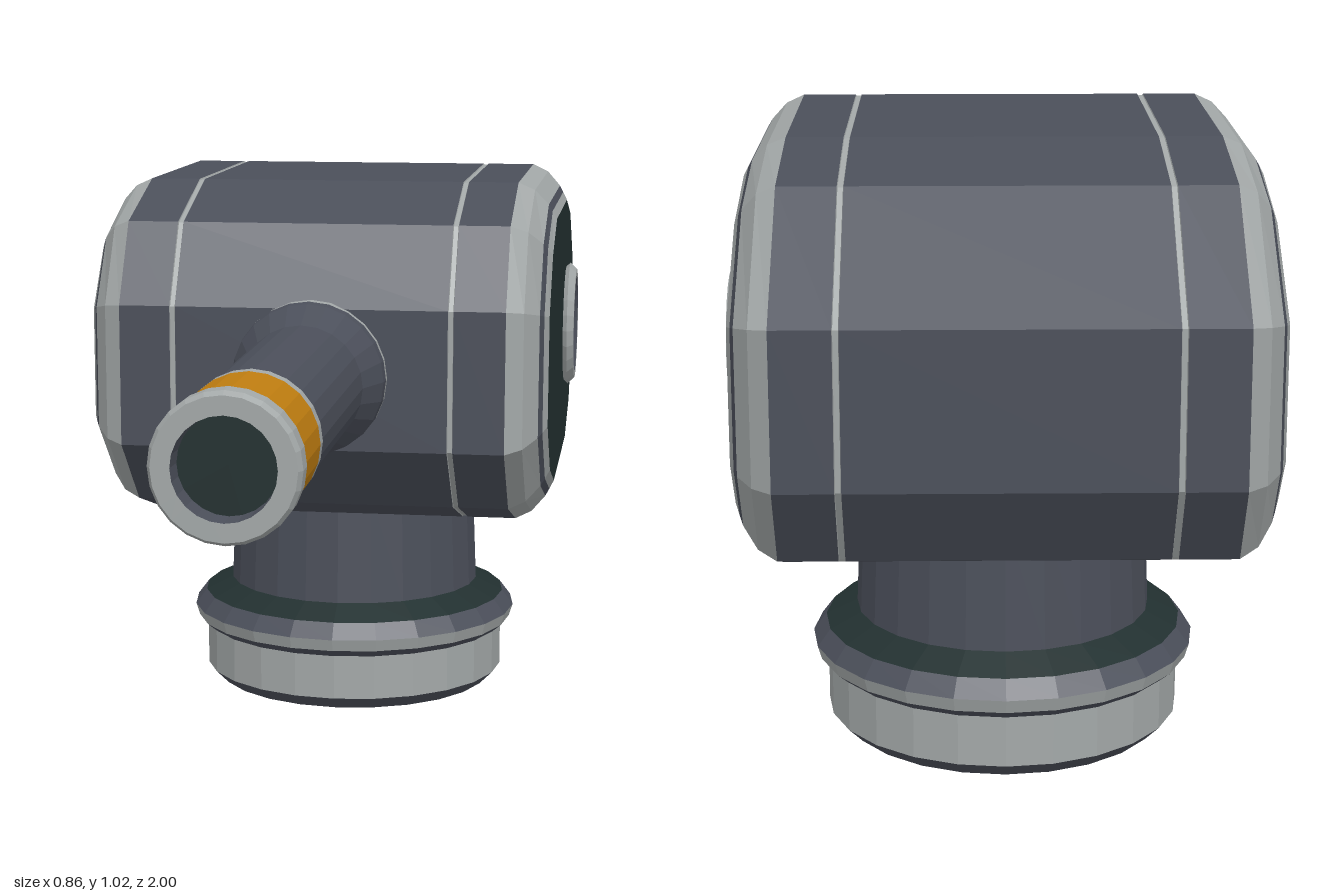
import * as THREE from 'three';

const material = (name, color) => {
  const m = new THREE.MeshStandardMaterial({ color, flatShading: true });
  m.name = name;
  return m;
};

// Housing outlines as [z, y], running front, top, back, bottom
const OUTER = [[0.185, 0.82], [0.1, 0.96], [-0.1, 1.02], [-0.56, 1.02], [-0.79, 0.985], [-1, 0.82],
  [-1, 0.58], [-0.916, 0.45], [-0.72, 0.38], [-0.166, 0.38], [0.05, 0.445], [0.185, 0.57]];
const INNER = [[0.086, 0.8], [0.005, 0.9], [-0.12, 0.953], [-0.52, 0.953], [-0.7, 0.91], [-0.868, 0.793],
  [-0.868, 0.584], [-0.8, 0.503], [-0.643, 0.45], [-0.193, 0.45], [-0.03, 0.503], [0.086, 0.605]];

// Outline at x, blended from OUTER (t = 0) to INNER (t = 1)
const section = ([x, t]) => OUTER.map(([z, y], i) => [
  x, y + (INNER[i][1] - y) * t, z + (INNER[i][0] - z) * t]);

function meshFrom(name, mat, triangles) {
  const g = new THREE.BufferGeometry();
  g.setAttribute('position', new THREE.Float32BufferAttribute(triangles.flat(), 3));
  g.computeVertexNormals();
  const mesh = new THREE.Mesh(g, mat);
  mesh.name = name;
  return mesh;
}

// Skin between stations [x, t] with x increasing
function band(name, mat, stations) {
  const tri = [];
  for (let s = 0; s + 1 < stations.length; s++) {
    const a = section(stations[s]), b = section(stations[s + 1]);
    a.forEach((p, i) => {
      const j = (i + 1) % a.length;
      tri.push(p, b[i], a[j], b[i], b[j], a[j]);
    });
  }
  return meshFrom(name, mat, tri);
}

// Flat end plate facing outwards along x
function cap(name, mat, station, side) {
  const p = section(station), tri = [];
  for (let i = 1; i + 1 < p.length; i++) {
    tri.push(p[0], ...(side > 0 ? [p[i + 1], p[i]] : [p[i], p[i + 1]]));
  }
  return meshFrom(name, mat, tri);
}

// Turned part: points are [radius, height]
function turned(name, mat, points, segments = 24) {
  const g = new THREE.LatheGeometry(points.map(([r, h]) => new THREE.Vector2(r, h)), segments);
  const mesh = new THREE.Mesh(g, mat);
  mesh.name = name;
  return mesh;
}

export function createModel() {
  const slate = material('slate', 0x4b4f5a);
  const light = material('light grey', 0xa3a8a8);
  const dark = material('dark green', 0x223030);
  const orange = material('orange', 0xbf7d10);

  const model = new THREE.Group();
  model.name = 'mountedTurret';

  // Faceted housing: centre, trim grooves, shoulders, rims and side plates
  const housing = new THREE.Group();
  housing.name = 'housing';
  housing.add(band('housingCentre', slate, [[-0.24, 0], [0.24, 0]]));
  for (const side of [1, -1]) {
    const at = (...st) => (side > 0 ? st : st.map(([x, t]) => [-x, t]).reverse());
    housing.add(
      band('trimGroove', light, at([0.24, 0], [0.241, 0.03], [0.249, 0.03], [0.25, 0])),
      band('shoulder', slate, at([0.25, 0], [0.34, 0])),
      band('rimBevel', light, at([0.34, 0], [0.37, 0.2], [0.395, 0.6])),
      band('rimGroove', slate, at([0.395, 0.6], [0.402, 0.78])),
      band('rimInner', light, at([0.402, 0.78], [0.41, 1])),
      cap('sidePlate', dark, [0.41 * side, 1], side),
    );

    // Pivot boss on each side plate
    const boss = new THREE.Group();
    boss.name = 'pivotBoss';
    boss.add(
      turned('bossRing', light, [[0.115, 0], [0.123, 0.008], [0.11, 0.021], [0.096, 0.021]]),
      turned('bossInner', slate, [[0.096, 0.021], [0.082, 0.012]]),
      turned('bossCentre', dark, [[0.082, 0.012], [0, 0.012]]),
    );
    boss.position.set(0.41 * side, 0.7, -0.56);
    boss.rotation.z = -side * Math.PI / 2;
    housing.add(boss);
  }
  model.add(housing);

  // Barrel pointing forwards
  const barrel = new THREE.Group();
  barrel.name = 'barrel';
  barrel.add(
    turned('barrelSeat', light, [[0.135, 0.17], [0.135, 0.2]]),
    turned('barrelTube', slate, [[0.135, 0.2], [0.133, 0.22], [0.106, 0.29], [0.104, 0.765]]),
    turned('barrelRing', light, [[0.104, 0.765], [0.108, 0.768], [0.108, 0.792]]),
    turned('barrelBand', orange, [[0.108, 0.792], [0.108, 0.952]]),
    turned('muzzle', light, [[0.108, 0.952], [0.113, 0.956], [0.113, 0.99], [0.107, 1], [0.078, 1]]),
    turned('boreWall', slate, [[0.078, 1], [0.076, 0.96]]),
    turned('boreEnd', dark, [[0.076, 0.96], [0, 0.96]]),
  );
  barrel.rotation.x = Math.PI / 2;
  barrel.position.y = 0.7;
  model.add(barrel);

  // Round pedestal under the housing
  const pedestal = new THREE.Group();
  pedestal.name = 'pedestal';
  pedestal.add(
    turned('baseUnderside', dark, [[0, 0], [0.272, 0]]),
    turned('baseChamfer', slate, [[0.272, 0], [0.297, 0.025]]),
    turned('baseDrum', light, [[0.297, 0.025], [0.297, 0.11]]),
    turned('collarUnderside', slate, [[0.297, 0.11], [0.315, 0.125]]),
    turned('collarRing', light, [[0.315, 0.125], [0.322, 0.148]]),
    turned('collarSlope', slate, [[0.322, 0.148], [0.3, 0.177]]),
    turned('collarTop', dark, [[0.3, 0.177], [0.247, 0.202]]),
    turned('neck', slate, [[0.247, 0.202], [0.238, 0.42]]),
  );
  pedestal.position.z = -0.407;
  model.add(pedestal);

  return model;
}
